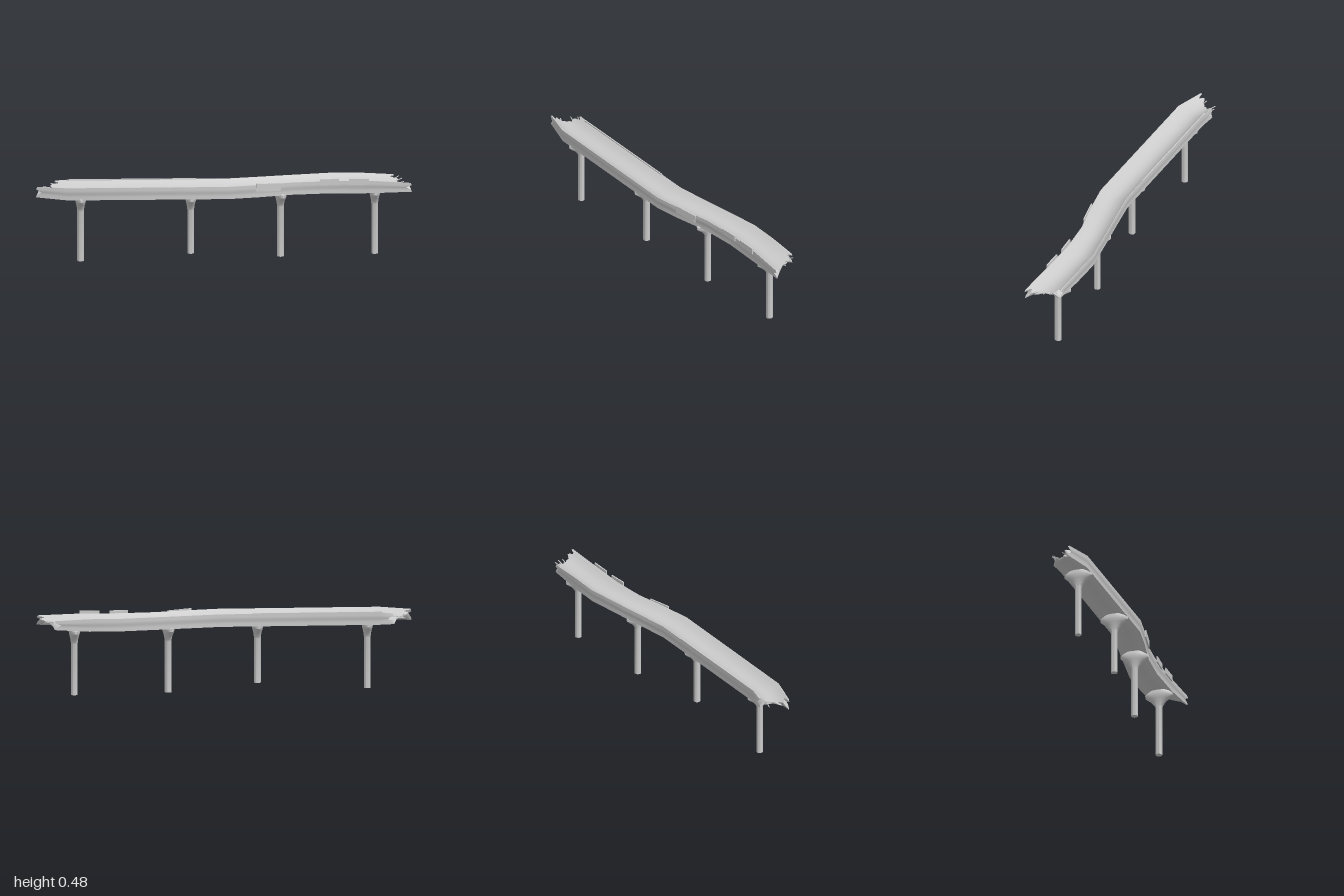
import * as THREE from 'three';
import { toCreasedNormals } from 'three/addons/utils/BufferGeometryUtils.js';

const material = new THREE.MeshStandardMaterial({ color: 0xcccccc, side: THREE.DoubleSide });

// Rim stations along the channel: back x, z, front x, z, vertical squeeze
const STATIONS = [
  [-0.935, 0.36, -0.985, 0.53, 0.86],
  [-0.86, 0.338, -0.8, 0.502, 1],
  [-0.44, 0.147, -0.37, 0.307, 1],
  [-0.02, -0.045, 0.06, 0.112, 1],
  [0.13, -0.145, 0.2, 0.015, 1],
  [0.27, -0.24, 0.37, -0.115, 1],
  [0.48, -0.38, 0.55, -0.218, 1],
  [0.65, -0.455, 0.78, -0.318, 1],
  [0.825, -0.53, 0.995, -0.4, 0.72],
];

// Half of the section, from rim to middle: dished deck above, arched soffit below
const INNER = [0.95, 0.9, 0.83, 0.75, 0.66, 0.56, 0.45, 0.32, 0.16, 0].map((u) => [u, 0.428 + 0.041 * u * u]);
const OUTER = [[1, 0.465], [1, 0.448], [1, 0.431], [0.965, 0.425], [0.965, 0.408], [0.96, 0.39],
  ...[0.9, 0.65, 0.35, 0].map((u) => [u, 0.417 - 0.033 * u * u])];
// How far the broken ends stick out at each section point
const BREAK = [0, 0.006, -0.02, -0.025, 0.004, 0.01, 0.004, -0.014, -0.006, -0.014];

function mirrorProfile(half) {
  const back = half.map(([u, y]) => [-u, y]);
  return back.concat(half.slice(0, -1).reverse());
}

function mesh(name, geometry, parent) {
  const m = new THREE.Mesh(geometry, material);
  m.name = name;
  parent.add(m);
  return m;
}

// Point across a station, t from back rim (0) to front rim (1)
function across([bx, bz, fx, fz], t) {
  return new THREE.Vector2(bx + (fx - bx) * t, bz + (fz - bz) * t);
}

// Sweep the thin section through the stations, with ragged ends
function channelGeometry() {
  const outer = mirrorProfile(OUTER), inner = mirrorProfile(INNER);
  const breaks = BREAK.concat(BREAK.slice(0, -1).reverse());
  const n = outer.length, ringSize = 2 * n, last = STATIONS.length - 1;
  const positions = [], index = [];
  STATIONS.forEach((station, s) => {
    const neighbour = s === 0 ? STATIONS[1] : s === last ? STATIONS[last - 1] : null;
    const addPoint = ([u, y], i) => {
      const t = (u + 1) / 2, p = across(station, t);
      if (neighbour) p.addScaledVector(p.clone().sub(across(neighbour, t)).normalize(), breaks[i]);
      positions.push(p.x, 0.43 + (y - 0.43) * station[4], p.y);
    };
    outer.forEach(addPoint);
    for (let i = n - 1; i >= 0; i--) addPoint(inner[i], i);
  });
  for (let s = 0; s < last; s++) {
    for (let i = 0; i < ringSize; i++) {
      const a = s * ringSize + i, b = s * ringSize + (i + 1) % ringSize;
      const c = a + ringSize, d = b + ringSize;
      index.push(a, c, b, b, c, d);
    }
  }
  // Close the thickness at both ends
  const e = last * ringSize;
  for (let i = 0; i < n - 1; i++) {
    const a = i, b = i + 1, c = ringSize - 2 - i, d = ringSize - 1 - i;
    index.push(a, b, c, a, c, d);
    index.push(e + a, e + c, e + b, e + a, e + d, e + c);
  }
  const g = new THREE.BufferGeometry();
  g.setAttribute('position', new THREE.Float32BufferAttribute(positions, 3));
  g.setIndex(index);
  return toCreasedNormals(g, 0.7);
}

// Round column flaring into a flat fan-shaped head
function pillarGeometry(base) {
  const profile = [[0, base], [0.02, base], [0.02, 0.305], [0.026, 0.318], [0.045, 0.342],
    [0.066, 0.358], [0.084, 0.374], [0.085, 0.392], [0.06, 0.41], [0, 0.415]];
  const g = new THREE.LatheGeometry(profile.map(([r, y]) => new THREE.Vector2(r, y)), 20);
  const p = g.attributes.position;
  for (let i = 0; i < p.count; i++) {
    const r = Math.hypot(p.getX(i), p.getZ(i));
    if (r > 0.02) p.setX(i, p.getX(i) * (0.02 + (r - 0.02) * 0.2) / r);
  }
  return toCreasedNormals(g, 0.7);
}

// Thin bar between two points
function rod(name, from, to, radius, parent) {
  const curve = new THREE.LineCurve3(new THREE.Vector3(...from), new THREE.Vector3(...to));
  mesh(name, new THREE.TubeGeometry(curve, 1, radius, 6), parent);
}

export function createModel() {
  const group = new THREE.Group();
  mesh('channel', channelGeometry(), group);

  // Pillars: x, z, base height, turn
  [[-0.766, 0.395, 0, 0.43], [-0.18, 0.127, 0.04, 0.43], [0.276, -0.143, 0, 0.58], [0.762, -0.41, 0, 0.42]]
    .forEach(([x, z, base, turn]) => {
      const pillar = mesh('pillar', pillarGeometry(base), group);
      pillar.position.set(x, 0, z);
      pillar.rotation.y = turn;
    });

  // Patch plates on the front wall: x, y, z, length, height, turn, tilt
  [[0.252, 0.449, -0.018, 0.148, 0.046, 0.62, -0.05],
    [0.558, 0.463, -0.212, 0.11, 0.036, 0.5, 0],
    [0.714, 0.463, -0.285, 0.118, 0.036, 0.43, 0]]
    .forEach(([x, y, z, length, height, turn, tilt]) => {
      const plate = mesh('patchPlate', new THREE.BoxGeometry(length, height, 0.008), group);
      plate.position.set(x, y, z);
      plate.rotation.set(0, turn, tilt);
    });

  // Coping strip on the back rim
  const coping = mesh('copingStrip', new THREE.BoxGeometry(0.76, 0.008, 0.008), group);
  coping.position.set(-0.53, 0.465, 0.191);
  coping.rotation.y = 0.428;

  // Bent reinforcement bars at the broken ends
  const bars = [
    [[-0.92, 0.44, 0.375], [-0.965, 0.442, 0.375]],
    [[-0.93, 0.424, 0.405], [-0.998, 0.428, 0.41]],
    [[-0.94, 0.424, 0.47], [-0.985, 0.434, 0.475]],
    [[-0.95, 0.43, 0.5], [-0.985, 0.44, 0.495]],
    [[0.845, 0.435, -0.5], [0.865, 0.45, -0.53]],
    [[0.86, 0.428, -0.48], [0.895, 0.445, -0.505]],
    [[0.88, 0.425, -0.46], [0.92, 0.435, -0.475]],
    [[0.92, 0.428, -0.43], [0.965, 0.44, -0.435]],
  ];
  bars.forEach(([a, b]) => rod('reinforcementBar', a, b, 0.003, group));
  return group;
}
